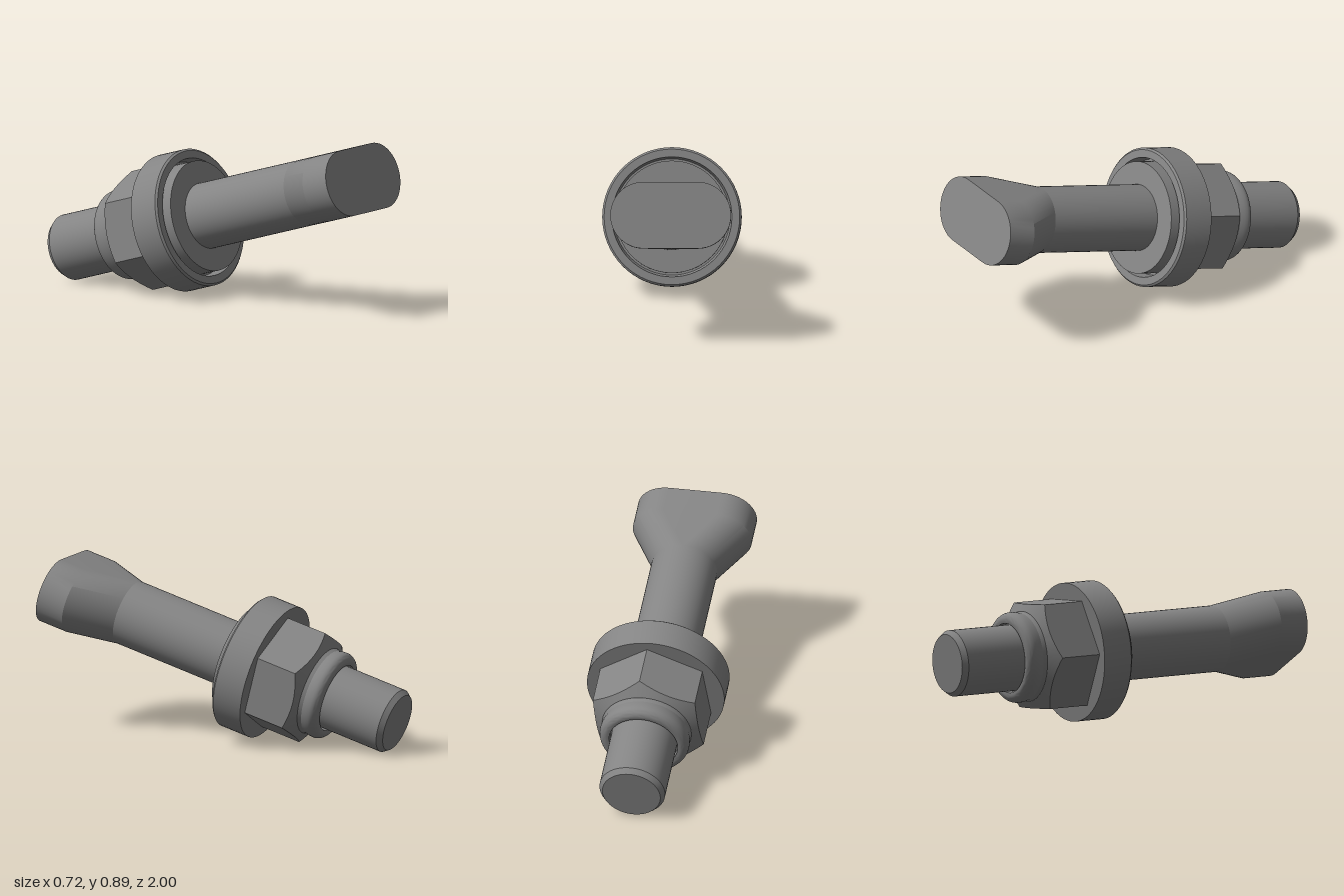
import * as THREE from 'three';
import { toCreasedNormals } from 'three/addons/utils/BufferGeometryUtils.js';

// Skin a list of closed rings (lowest first), optionally capping the ends.
function loft(rings, caps = true) {
  const n = rings[0].length, index = [], pos = rings.flat(2);
  for (let i = 0; i < rings.length - 1; i++) {
    for (let j = 0; j < n; j++) {
      const k = (j + 1) % n, a = i * n + j, b = i * n + k;
      index.push(a, b, b + n, a, b + n, a + n);
    }
  }
  if (caps) {
    const top = (rings.length - 1) * n;
    for (let j = 1; j < n - 1; j++) {
      index.push(0, j + 1, j, top, top + j, top + j + 1);
    }
  }
  const g = new THREE.BufferGeometry();
  g.setAttribute('position', new THREE.Float32BufferAttribute(pos, 3));
  g.setIndex(index);
  return toCreasedNormals(g, 0.45);
}

// Stadium outline: two half circles of radius r whose centres sit at x = +-spread.
function stadium(y, r, spread) {
  const ring = [];
  for (const side of [1, -1]) {
    for (let i = 0; i <= 24; i++) {
      const t = -Math.PI / 2 + (i / 24) * Math.PI;
      ring.push([side * (spread + r * Math.cos(t)), y, -side * r * Math.sin(t)]);
    }
  }
  return ring;
}

// Turned part from [radius, height] points listed with the outside going upward.
function turned(points) {
  const g = new THREE.LatheGeometry(points.map(p => new THREE.Vector2(...p)), 64);
  return toCreasedNormals(g, 0.45);
}

export function createModel() {
  const steel = new THREE.MeshStandardMaterial({ color: 0x848484 });
  steel.name = 'grey steel';
  const model = new THREE.Group();
  model.name = 'bolt assembly';

  // Everything is built along local y, then tilted forward
  const bolt = new THREE.Group();
  bolt.name = 'tilted bolt';
  bolt.position.set(0, 0.45, 0.003);
  bolt.rotation.x = Math.PI / 2 - 0.29;
  model.add(bolt);
  const add = (name, geometry) => {
    const mesh = new THREE.Mesh(geometry, steel);
    mesh.name = name;
    bolt.add(mesh);
  };

  // Round shank with chamfered tail, spreading sideways into the flat head
  const R = 0.172;
  add('shank', loft([
    stadium(-0.998, 0.152, 0.0001), stadium(-0.97, R, 0.0001), stadium(0.6, R, 0.0001),
  ]));
  add('head', loft([
    stadium(0.6, R, 0.0001), stadium(0.835, R, 0.14), stadium(0.99, R, 0.14),
  ]));

  // Washer with a recess, and the seat disc sitting in it
  add('washer', turned([
    [0.17, -0.267], [0.36, -0.267], [0.36, -0.107], [0.35, -0.097],
    [0.31, -0.097], [0.3, -0.16], [0.17, -0.16],
  ]));
  add('seatDisc', turned([[0.17, -0.16], [0.29, -0.16], [0.29, -0.06], [0.17, -0.06]]));

  // Hex nut, its flats cut by a cone at the outer end
  const corner = 0.312, apothem = corner * Math.cos(Math.PI / 6), turn = THREE.MathUtils.degToRad(24.5);
  const hexRing = (height, radius) => Array.from({ length: 96 }, (_, i) => {
    const local = ((i % 16) / 16) * (Math.PI / 3) - Math.PI / 6;
    const hex = apothem / Math.cos(local), t = turn + (i / 96) * Math.PI * 2;
    const r = radius ?? hex;
    return [r * Math.cos(t), height(hex), -r * Math.sin(t)];
  });
  add('hexNut', loft([
    hexRing(() => -0.535, 0.236),
    hexRing(hex => -0.535 + (hex - 0.236) * 0.6),
    hexRing(() => -0.267),
  ]));

  // Rounded locking collar on the nut
  const collar = [[0.18, -0.6], [0.18, -0.638]];
  for (let i = 0; i <= 8; i++) {
    const t = (i / 8) * Math.PI / 2;
    collar.push([0.193 + 0.042 * Math.sin(t), -0.598 - 0.042 * Math.cos(t)]);
  }
  collar.push([0.234, -0.58], [0.228, -0.555], [0.236, -0.53]);
  add('lockCollar', turned(collar));
  add('collarLiner', turned([[0.17, -0.6], [0.185, -0.6]]));

  return model;
}
